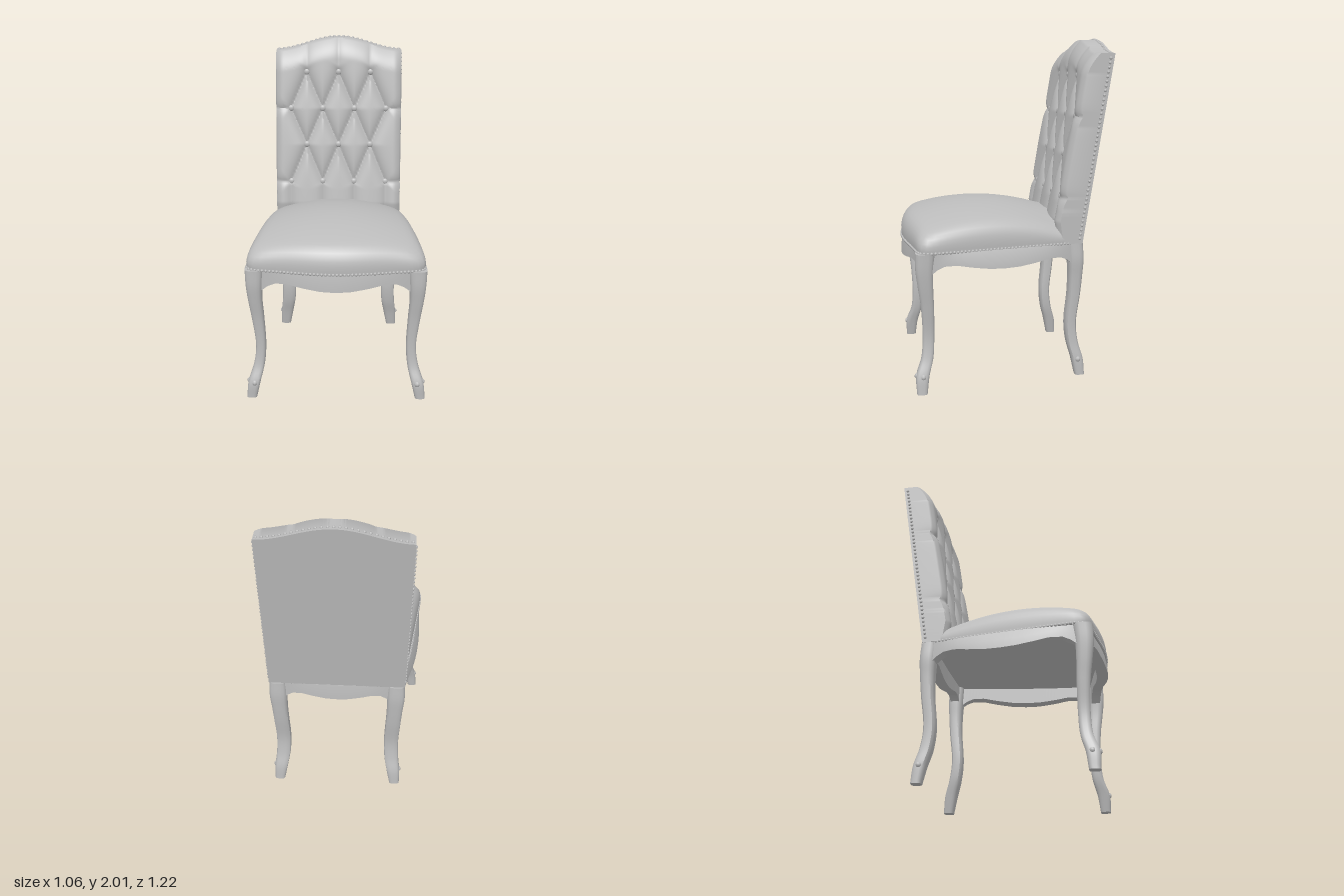
import * as THREE from 'three';
import { mergeGeometries, toCreasedNormals } from 'three/addons/utils/BufferGeometryUtils.js';

const grey = new THREE.MeshStandardMaterial({ color: 0xbcbcbc });
grey.name = 'plain grey';

// Skin a list of equal-length rings; rings run anticlockwise seen from the advancing end
function loft(rings, capStart = true, capEnd = true, crease = 0.7) {
  const n = rings[0].length, pos = [], idx = [];
  rings.forEach(r => r.forEach(p => pos.push(...p)));
  for (let i = 0; i < rings.length - 1; i++) {
    for (let j = 0; j < n; j++) {
      const a = i * n + j, b = i * n + (j + 1) % n;
      idx.push(a, b, a + n, b, b + n, a + n);
    }
  }
  const cap = (row, flip) => {
    const c = pos.length / 3;
    pos.push(...[0, 1, 2].map(k => rings[row].reduce((s, p) => s + p[k], 0) / n));
    for (let j = 0; j < n; j++) {
      const a = row * n + j, b = row * n + (j + 1) % n;
      if (flip) idx.push(c, b, a); else idx.push(c, a, b);
    }
  };
  if (capStart) cap(0, true);
  if (capEnd) cap(rings.length - 1, false);
  const g = new THREE.BufferGeometry();
  g.setAttribute('position', new THREE.Float32BufferAttribute(pos, 3));
  g.setIndex(idx);
  return toCreasedNormals(g, crease);
}

// Piecewise-linear lookup in [key, value] pairs
function lookup(table, k) {
  for (let i = 1; i < table.length; i++) {
    const [k0, v0] = table[i - 1], [k1, v1] = table[i];
    if (k <= k1) return v0 + (v1 - v0) * Math.max(0, (k - k0) / (k1 - k0));
  }
  return table[table.length - 1][1];
}

// Points of a rounded square, anticlockwise seen from above
function squircle(count, power) {
  return Array.from({ length: count }, (_, i) => {
    const a = (i / count) * Math.PI * 2, c = Math.cos(a), s = -Math.sin(a);
    const r = Math.pow(Math.abs(c) ** power + Math.abs(s) ** power, -1 / power);
    return [c * r, s * r];
  });
}

// Seat plan: tapered to the rear, serpentine front edge
const SEAT_Y = 0.815, SEAT_BACK = -0.42;
function seatPlan(u, w) {
  const front = 0.545 + 0.06 * (0.5 + 0.5 * Math.cos(Math.PI * u));
  const z = SEAT_BACK + (front - SEAT_BACK) * (w + 1) / 2;
  return [u * (0.4 + 0.122 * (z + 0.36) / 0.88), z];
}

function seatGeometry() {
  const edge = squircle(128, 14);
  const layers = [[1, 0], [1.004, 0.2], [1.004, 0.4], [0.995, 0.58], [0.98, 0.73], [0.955, 0.85],
    [0.92, 0.94], [0.87, 0.985], [0.8, 1], [0.68, 1], [0.54, 1], [0.4, 1], [0.26, 1], [0.12, 1], [0.01, 1]];
  return loft(layers.map(([s, h]) => edge.map(([eu, ew]) => {
    const u = eu * s, w = ew * s, [x, z] = seatPlan(u, w);
    const dome = 1.042 - 0.075 * u * u - 0.07 * ((Math.max(z, -0.3) - 0.13) / 0.43) ** 2;
    return [x, SEAT_Y + (dome - SEAT_Y) * h, z];
  })));
}

// Tufting layout: staggered buttons, diagonal seams and edge pleats
const STEP = 0.1025;
const buttons = [];
[[1.09, 1], [1.33, 0], [1.56, 1], [1.79, 0]].forEach(([y, odd]) => {
  for (const k of odd ? [-3, -1, 1, 3] : [-2, 0, 2]) buttons.push([k * STEP, y]);
});
const seams = [];
for (const [x, y] of buttons) {
  for (const [x2, y2] of buttons) {
    if (y2 - y > 0.1 && y2 - y < 0.3 && Math.abs(x2 - x) < 0.12) seams.push([x, y, x2, y2, 1]);
  }
  if (y > 1.7) seams.push([x, y, x, 2.0, 0.35]);
  if (y < 1.2) seams.push([x, y, x, 0.82, 0.7]);
  if (Math.abs(x) > 0.3) seams.push([x, y, Math.sign(x) * 0.42, y, 0.6]);
}
function tuftDepth(x, y) {
  let depth = 0;
  for (const [x1, y1, x2, y2, weight] of seams) {
    const dx = x2 - x1, dy = y2 - y1;
    const t = Math.min(1, Math.max(0, ((x - x1) * dx + (y - y1) * dy) / (dx * dx + dy * dy)));
    const d = Math.hypot(x - x1 - t * dx, y - y1 - t * dy);
    depth = Math.max(depth, 0.034 * weight * Math.exp(-d / 0.03));
  }
  return depth;
}

// Backrest surfaces
const HALF = 0.406;
const crest = x => 1.918 + 0.08 * (0.5 + 0.5 * Math.cos(Math.PI * Math.min(1, Math.abs(x) / 0.41)));
const backZ = y => -0.428 - 0.155 * (y - 0.82);
function frontZ(x, y) {
  const base = y < 0.95 ? -0.285 + 0.02 * (y - 0.82) / 0.13 : -0.265 - 0.172 * (y - 0.95);
  const roll = Math.max(0, 1 - (crest(x) - y) / 0.13), side = Math.max(0, 1 - (HALF - Math.abs(x)) / 0.05);
  return base - tuftDepth(x, y) - 0.055 * roll * roll - 0.028 * side * side;
}
function backrestGeometry() {
  const N = 80, M = 116, rings = [];
  for (let j = 0; j <= M + 1; j++) {
    const t = Math.min(1, j / M), front = [], rear = [];
    for (let i = 0; i <= N; i++) {
      const x = HALF * (2 * i / N - 1), y = 0.82 + t * (crest(x) - 0.82);
      front.push([x, y, j > M ? backZ(y) : frontZ(x, y)]);
      rear.unshift([x, y, backZ(y)]);
    }
    rings.push([...front, ...rear]);
  }
  return loft(rings, true, false, 0.8);
}

// Cabriole leg from stations of [y, centre x, centre z, width, depth]
function legGeometry(stations, side) {
  const section = squircle(20, 4);
  const centre = new THREE.CatmullRomCurve3(stations.map(s => new THREE.Vector3(s[1], s[0], s[2])));
  const size = new THREE.CatmullRomCurve3(stations.map(s => new THREE.Vector3(s[3], s[0], s[4])));
  const rings = [];
  for (let i = 0; i <= 40; i++) {
    const c = centre.getPoint(i / 40), d = size.getPoint(i / 40);
    rings.push(section.map(([u, w]) => [side * c.x + u * d.x / 2, c.y, c.z + w * d.z / 2]));
  }
  return loft(rings);
}

// Shaped rail; its outer face lies to the left of the path seen in plan
const railBottom = [[0, 0.69], [0.05, 0.725], [0.1, 0.745], [0.18, 0.748], [0.28, 0.732], [0.4, 0.718], [0.5, 0.715]];
function railGeometry(points, flare) {
  const path = new THREE.CatmullRomCurve3(points.map(([x, z]) => new THREE.Vector3(x, 0, z)));
  const up = new THREE.Vector3(0, 1, 0), rings = [];
  for (let i = 0; i <= 40; i++) {
    const t = i / 40, p = path.getPointAt(t), n = up.clone().cross(path.getTangentAt(t)).normalize();
    const low = lookup(railBottom, Math.min(t, 1 - t)), f = flare * Math.sin(Math.PI * t);
    const at = (off, y) => [p.x + n.x * off, y, p.z + n.z * off];
    rings.push([at(f, low), at(f * 0.8, (low + SEAT_Y) / 2), at(0, SEAT_Y + 0.005), at(-0.055, SEAT_Y + 0.005), at(-0.055, low)]);
  }
  return loft(rings);
}

const studs = (points, r) => mergeGeometries(points.map(p => new THREE.SphereGeometry(r, 8, 5).translate(...p)));

export function createModel() {
  const model = new THREE.Group();
  model.name = 'tuftedChair';
  const add = (name, geometry) => {
    const mesh = new THREE.Mesh(geometry, grey);
    mesh.name = name;
    model.add(mesh);
    return mesh;
  };

  add('seatCushion', seatGeometry());
  add('backrest', backrestGeometry());

  // Tufting buttons
  buttons.forEach(([x, y]) => {
    const b = add('tuftButton', new THREE.SphereGeometry(0.02, 14, 10));
    b.position.set(x, y, frontZ(x, y) + 0.007);
    b.scale.z = 0.6;
  });

  // Legs, with a small scroll boss on each foot
  const frontLeg = [[0, 0.502, 0.533, 0.06, 0.06], [0.1, 0.485, 0.527, 0.072, 0.075], [0.2, 0.457, 0.497, 0.064, 0.068],
    [0.32, 0.444, 0.488, 0.058, 0.066], [0.5, 0.456, 0.492, 0.07, 0.074], [0.62, 0.467, 0.502, 0.08, 0.086],
    [0.72, 0.47, 0.507, 0.094, 0.1], [0.82, 0.468, 0.502, 0.106, 0.11]];
  const rearLeg = [[0, 0.373, -0.43, 0.065, 0.058], [0.1, 0.362, -0.415, 0.082, 0.07], [0.2, 0.347, -0.388, 0.088, 0.068],
    [0.32, 0.342, -0.375, 0.09, 0.066], [0.5, 0.348, -0.392, 0.092, 0.072], [0.62, 0.353, -0.398, 0.096, 0.08],
    [0.72, 0.356, -0.398, 0.106, 0.09], [0.82, 0.355, -0.392, 0.1, 0.09]];
  for (const side of [1, -1]) {
    const label = side > 0 ? 'Left' : 'Right';
    add('frontLeg' + label, legGeometry(frontLeg, side));
    add('rearLeg' + label, legGeometry(rearLeg, side));
    add('footScroll' + label, studs([[side * 0.482, 0.1, 0.557], [side * 0.512, 0.1, 0.525], [side * 0.395, 0.1, -0.415]], 0.018));
  }

  // Serpentine rails under the seat
  add('frontRail', railGeometry([[0.43, 0.535], [0.3, 0.558], [0.15, 0.585], [0, 0.598], [-0.15, 0.585], [-0.3, 0.558], [-0.43, 0.535]], 0.012));
  add('leftRail', railGeometry([[0.395, -0.38], [0.43, -0.2], [0.46, 0], [0.49, 0.25], [0.505, 0.48]], 0.025));
  add('rightRail', railGeometry([[-0.505, 0.48], [-0.49, 0.25], [-0.46, 0], [-0.43, -0.2], [-0.395, -0.38]], 0.025));
  add('rearRail', railGeometry([[-0.33, -0.425], [0, -0.43], [0.33, -0.425]], 0.01));

  // Nailhead trim around the seat
  const rim = new THREE.CatmullRomCurve3(squircle(96, 14).map(([u, w]) => {
    const [x, z] = seatPlan(u, w);
    return new THREE.Vector3(x, SEAT_Y + 0.007, z);
  }), true);
  add('seatNailheads', studs(rim.getSpacedPoints(170).slice(1).map(p => p.toArray()), 0.009));

  // Nailhead trim up the sides and over the crest of the back
  const trim = [];
  for (let y = 0.85; y < 1.9; y += 0.026) {
    for (const side of [1, -1]) trim.push([side * HALF, y, backZ(y) + 0.022]);
  }
  for (let i = 0; i <= 26; i++) {
    const x = -0.39 + 0.03 * i;
    trim.push([x, crest(x), backZ(crest(x)) + 0.022]);
  }
  add('backNailheads', studs(trim, 0.009));

  return model;
}
